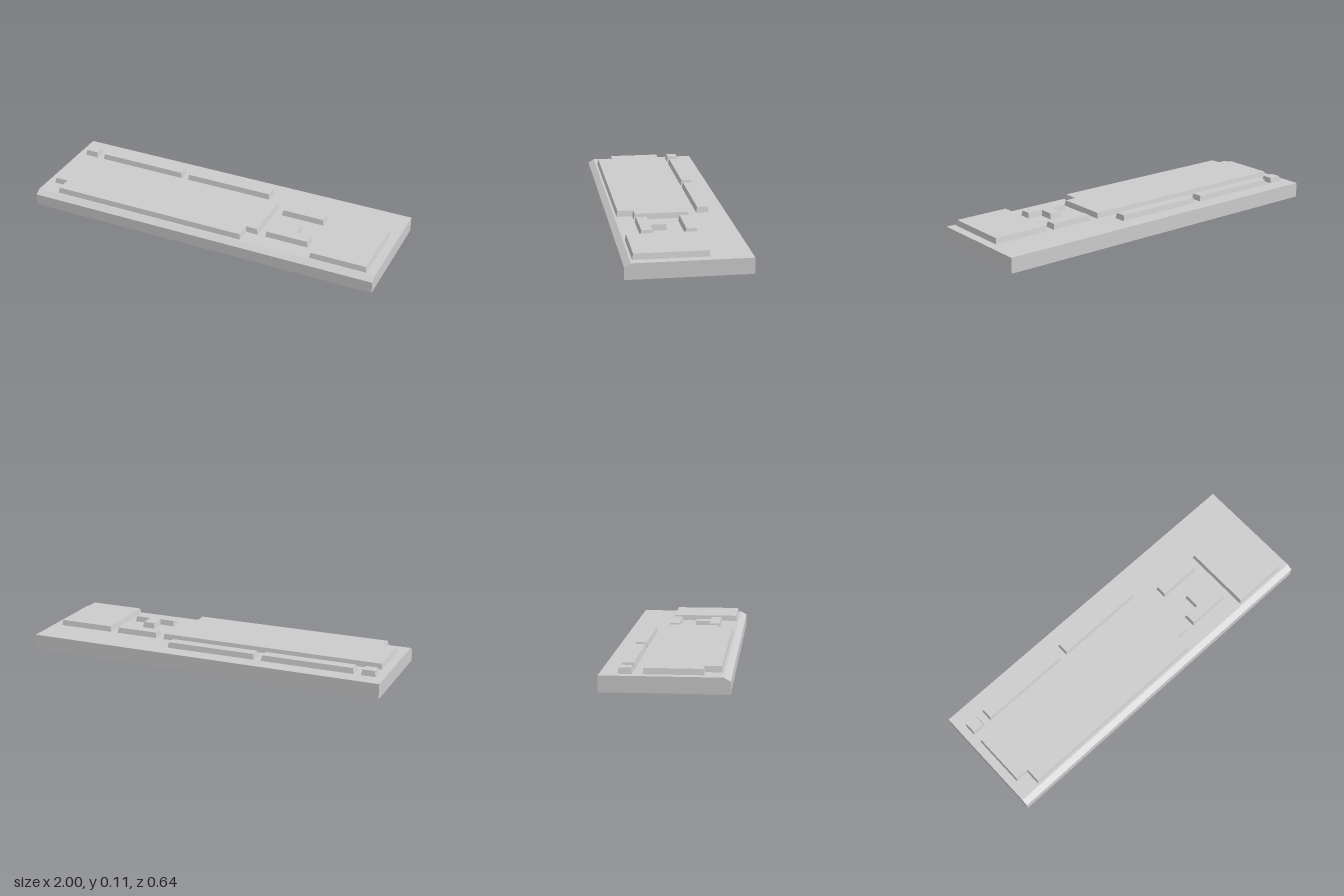
import * as THREE from 'three';

const BODY_TOP = 0.083, KEY_TOP = 0.113, TAPER = 0.006;
const material = new THREE.MeshStandardMaterial({ color: 0xcccccc, flatShading: true });

function addMesh(parent, name, geometry) {
  const mesh = new THREE.Mesh(geometry, material);
  mesh.name = name;
  parent.add(mesh);
}

// Raised key block: outline of [x, z] corners, counter-clockwise seen from above,
// whose upper edge is drawn in on every side.
function keyBlock(outline) {
  const pts = outline.map(([x, z]) => new THREE.Vector2(x, -z));
  const inward = (a, b) => {
    const d = b.clone().sub(a).normalize();
    return new THREE.Vector2(-d.y, d.x);
  };
  const n = pts.length;
  const shifts = pts.map((p, i) =>
    inward(pts[(i + n - 1) % n], p).add(inward(p, pts[(i + 1) % n])).multiplyScalar(TAPER));

  const height = KEY_TOP - BODY_TOP;
  const geo = new THREE.ExtrudeGeometry(new THREE.Shape(pts), { depth: height, bevelEnabled: false });
  const pos = geo.attributes.position;
  const v = new THREE.Vector2();
  for (let i = 0; i < pos.count; i++) {
    if (pos.getZ(i) < height / 2) continue;
    v.set(pos.getX(i), pos.getY(i));
    const k = pts.findIndex(p => p.distanceTo(v) < 1e-4);
    pos.setXY(i, v.x + shifts[k].x, v.y + shifts[k].y);
  }
  geo.rotateX(-Math.PI / 2).translate(0, BODY_TOP, 0);
  geo.computeVertexNormals();
  return geo;
}

// Rectangle outline, counter-clockwise seen from above
const rect = (x0, x1, z0, z1) => [[x0, z1], [x1, z1], [x1, z0], [x0, z0]];

export function createModel() {
  const keyboard = new THREE.Group();
  keyboard.name = 'keyboard';

  // Case: side profile with a chamfered front edge, swept across the width
  const profile = [[-0.32, 0], [0.32, 0], [0.32, BODY_TOP], [-0.287, BODY_TOP], [-0.32, 0.064]];
  const body = new THREE.ExtrudeGeometry(
    new THREE.Shape(profile.map(([x, y]) => new THREE.Vector2(x, y))),
    { depth: 2, bevelEnabled: false });
  body.rotateY(Math.PI / 2).translate(-1, 0, 0);
  addMesh(keyboard, 'case', body);

  // Key groups
  const blocks = {
    escapeKey: rect(-0.954, -0.876, -0.23, -0.16),
    functionKeysLeft: rect(-0.836, -0.323, -0.23, -0.16),
    functionKeysRight: rect(-0.283, 0.223, -0.23, -0.16),
    mainKeys: [[-0.88, 0.275], [0.241, 0.275], [0.241, 0.19], [0.306, 0.19],
      [0.306, -0.109], [-0.954, -0.109], [-0.954, 0.19], [-0.88, 0.19]],
    navigationKeys: rect(0.35, 0.593, -0.109, -0.042),
    arrowKeys: [[0.35, 0.19], [0.593, 0.19], [0.593, 0.121], [0.507, 0.121],
      [0.507, 0.04], [0.433, 0.04], [0.433, 0.121], [0.35, 0.121]],
    numberPad: rect(0.634, 0.951, -0.109, 0.275),
  };
  for (const [name, outline] of Object.entries(blocks)) {
    addMesh(keyboard, name, keyBlock(outline));
  }
  return keyboard;
}
